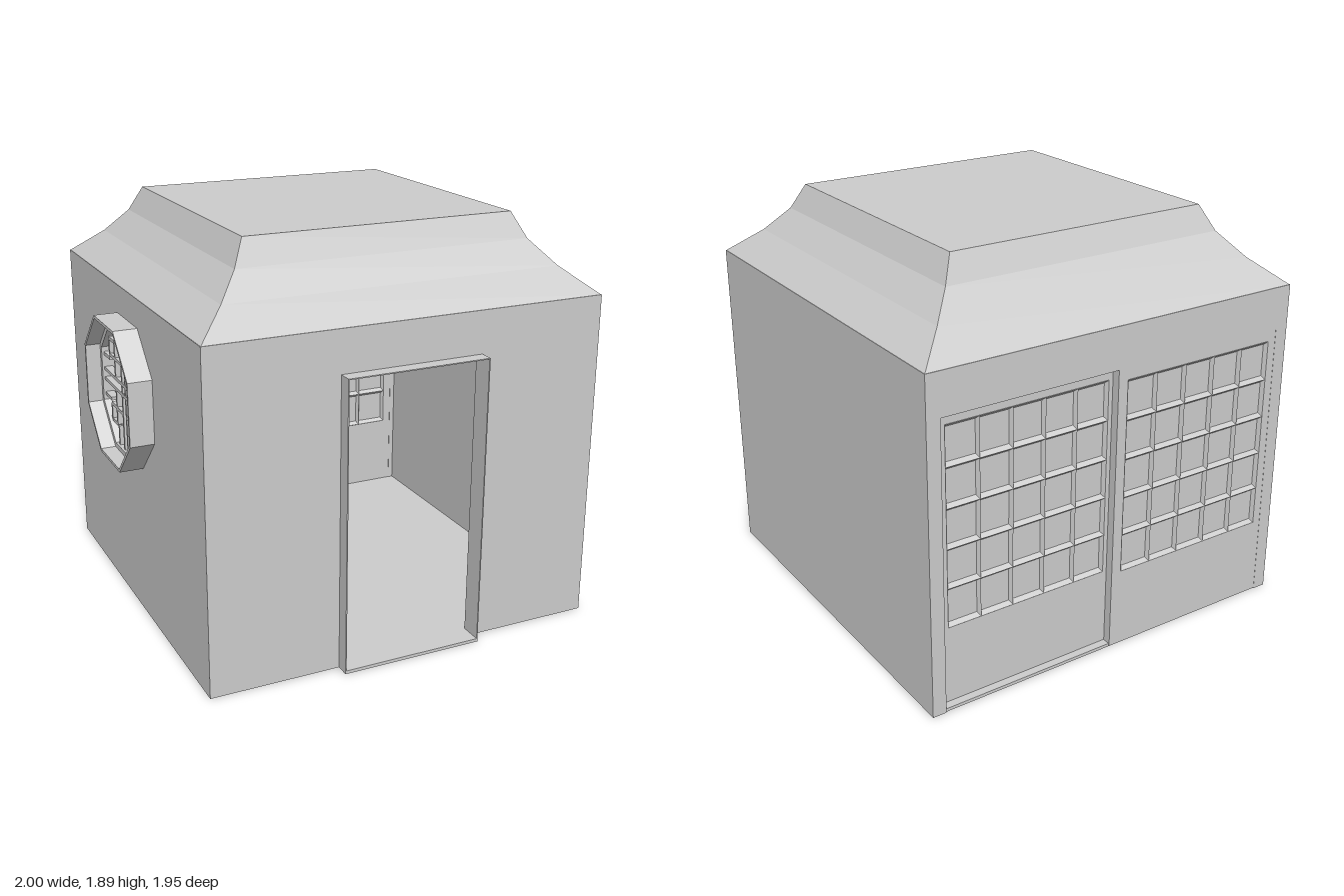
import * as THREE from 'three';

const CX = 0.055, CZ = -0.033, HALF = 0.943;   // centre and half width of the house
const X0 = CX - HALF, X1 = CX + HALF, Z0 = CZ - HALF, Z1 = CZ + HALF;
const WALL = 0.04, EAVES = 1.55, DOOR_TOP = 1.355, SILL = 0.015;
const WIN_Z = -0.04, WIN_Y = 1.083;
const mat = new THREE.MeshStandardMaterial({ color: 0xcccccc, flatShading: true });

function add(parent, name, geometry, x = 0, y = 0, z = 0) {
  const mesh = new THREE.Mesh(geometry, mat);
  mesh.name = name;
  mesh.position.set(x, y, z);
  parent.add(mesh);
  return mesh;
}

// Box given by its two opposite corners
function block(parent, name, x0, x1, y0, y1, z0, z1) {
  return add(parent, name, new THREE.BoxGeometry(x1 - x0, y1 - y0, z1 - z0),
    (x0 + x1) / 2, (y0 + y1) / 2, (z0 + z1) / 2);
}

const points = list => list.map(([x, y]) => new THREE.Vector2(x, y));
const rect = (x0, x1, y0, y1) => points([[x0, y0], [x1, y0], [x1, y1], [x0, y1]]);

// Octagon with flat sides at +-r and chamfers in proportion
function octagon(r, cx = WIN_Z, cy = WIN_Y) {
  const c = r * 0.445;
  return points([[r, -c], [r, c], [c, r], [-c, r], [-r, c], [-r, -c], [-c, -r], [c, -r]]
    .map(([x, y]) => [cx + x, cy + y]));
}

function plate(outline, depth, hole) {
  const shape = new THREE.Shape(outline);
  if (hole) shape.holes.push(new THREE.Path(hole));
  return new THREE.ExtrudeGeometry(shape, { depth, bevelEnabled: false });
}

// Plate drawn in z and y, thickened towards -x
const sidePlate = (outline, depth, hole) => plate(outline, depth, hole).rotateY(-Math.PI / 2);

// Outline of a wall with a doorway cut up from its bottom edge
const archWall = (x0, x1, d0, d1) => points([
  [x0, 0], [d0, 0], [d0, DOOR_TOP], [d1, DOOR_TOP], [d1, 0], [x1, 0], [x1, EAVES], [x0, EAVES]]);

// Sliding screen: frame, thin paper and a 5 x 5 lattice of diamond rods
function slidingScreen(name, x0, x1, hx, z) {
  const g = new THREE.Group();
  g.name = name;
  const n = 5, hw = 0.8, y0 = 0.38, y1 = 1.3, t = 0.02, r = 0.0215;
  add(g, 'screenFrame', plate(rect(x0, x1, 0.004, DOOR_TOP), 2 * t, rect(hx, hx + hw, y0, y1)), 0, 0, z - t);
  block(g, 'screenPaper', hx, hx + hw, y0, y1, z - 0.003, z + 0.003);
  for (let i = 0; i <= n; i++) {
    const rail = new THREE.CylinderGeometry(r, r, hw, 4).rotateZ(Math.PI / 2).scale(1, 0.85, 1);
    add(g, 'latticeRail', rail, hx + hw / 2, y0 + (y1 - y0) * i / n, z);
    const post = new THREE.CylinderGeometry(r, r, y1 - y0, 4).scale(0.55, 1, 1);
    add(g, 'latticePost', post, hx + hw * i / n, (y0 + y1) / 2, z);
  }
  return g;
}

// Octagonal window: projecting rim with a recessed fretwork lattice
function octagonWindow() {
  const g = new THREE.Group();
  g.name = 'octagonWindow';
  add(g, 'windowRim', sidePlate(octagon(0.332), 0.16, octagon(0.318)), -0.84);
  add(g, 'innerRim', sidePlate(octagon(0.32), 0.07, octagon(0.295)), -0.86);
  const bar = (u0, u1, v0, v1) => block(g, 'fretBar', -0.92, -0.88,
    WIN_Y + v0, WIN_Y + v1, WIN_Z + u0, WIN_Z + u1);
  const w = 0.008;
  for (const s of [-1, 1]) {
    // double cross
    bar(s * 0.025 - w, s * 0.025 + w, -0.3, 0.3);
    bar(-0.3, 0.3, s * 0.025 - w, s * 0.025 + w);
    // stepped fret in every quadrant
    for (const q of [-1, 1]) {
      const fret = (a0, a1, b) => {
        const lo = k => Math.min(k * a0, k * a1), hi = k => Math.max(k * a0, k * a1);
        bar(lo(s), hi(s), q * b - w, q * b + w);
        bar(s * b - w, s * b + w, lo(q), hi(q));
      };
      fret(0.025, 0.2, 0.12);
      fret(0.12, 0.2, 0.2);
      fret(0.2, 0.3, 0.1);
    }
  }
  return g;
}

export function createModel() {
  const model = new THREE.Group();
  model.name = 'house';

  // Floor, with a sill reaching into the doorway
  const doorL = -0.283, doorR = 0.39, doorFront = 0.975;
  block(model, 'floor', X0 + WALL, X1 - WALL, 0, SILL, Z0 + 0.005, Z1 - WALL);
  block(model, 'doorSill', doorL, doorR, 0, SILL, Z1 - WALL, doorFront);

  // Walls
  add(model, 'leftWall', sidePlate(rect(Z0, Z1, 0, EAVES), WALL), X1);
  add(model, 'rightWall', sidePlate(rect(Z0, Z1, 0, EAVES), WALL, octagon(0.325)), X0 + WALL);
  add(model, 'frontWall', plate(archWall(X0 + WALL, X1 - WALL, doorL, doorR), WALL), 0, 0, Z1 - WALL);
  add(model, 'backWall', plate(archWall(X0 + WALL, X1 - WALL, X0 + 0.065, X1 - 0.065), 0.085), 0, 0, Z0);

  // Thin door surround standing proud of the front wall
  const t = 0.005;
  const surround = points([[doorL, 0], [doorL + t, 0], [doorL + t, DOOR_TOP - t], [doorR - t, DOOR_TOP - t],
    [doorR - t, 0], [doorR, 0], [doorR, DOOR_TOP], [doorL, DOOR_TOP]]);
  add(model, 'doorSurround', plate(surround, doorFront - Z1 + WALL), 0, 0, Z1 - WALL);

  // Two overlapping sliding screens at the back, one behind the other
  model.add(slidingScreen('outerScreen', X0 + 0.065, 0.07, -0.78, Z0 + 0.021));
  model.add(slidingScreen('innerScreen', 0.05, X1 - 0.065, 0.09, Z0 + 0.063));

  model.add(octagonWindow());

  // Concave hipped roof with a flat top
  const profile = [[0, 1.548], [HALF, 1.548], [0.8, 1.666], [0.7, 1.778], [0.643, 1.895], [0, 1.895]];
  const roof = new THREE.LatheGeometry(points(profile.map(([r, y]) => [r * Math.SQRT2, y])), 4, Math.PI / 4);
  add(model, 'roof', roof, CX, 0, CZ);

  return model;
}
